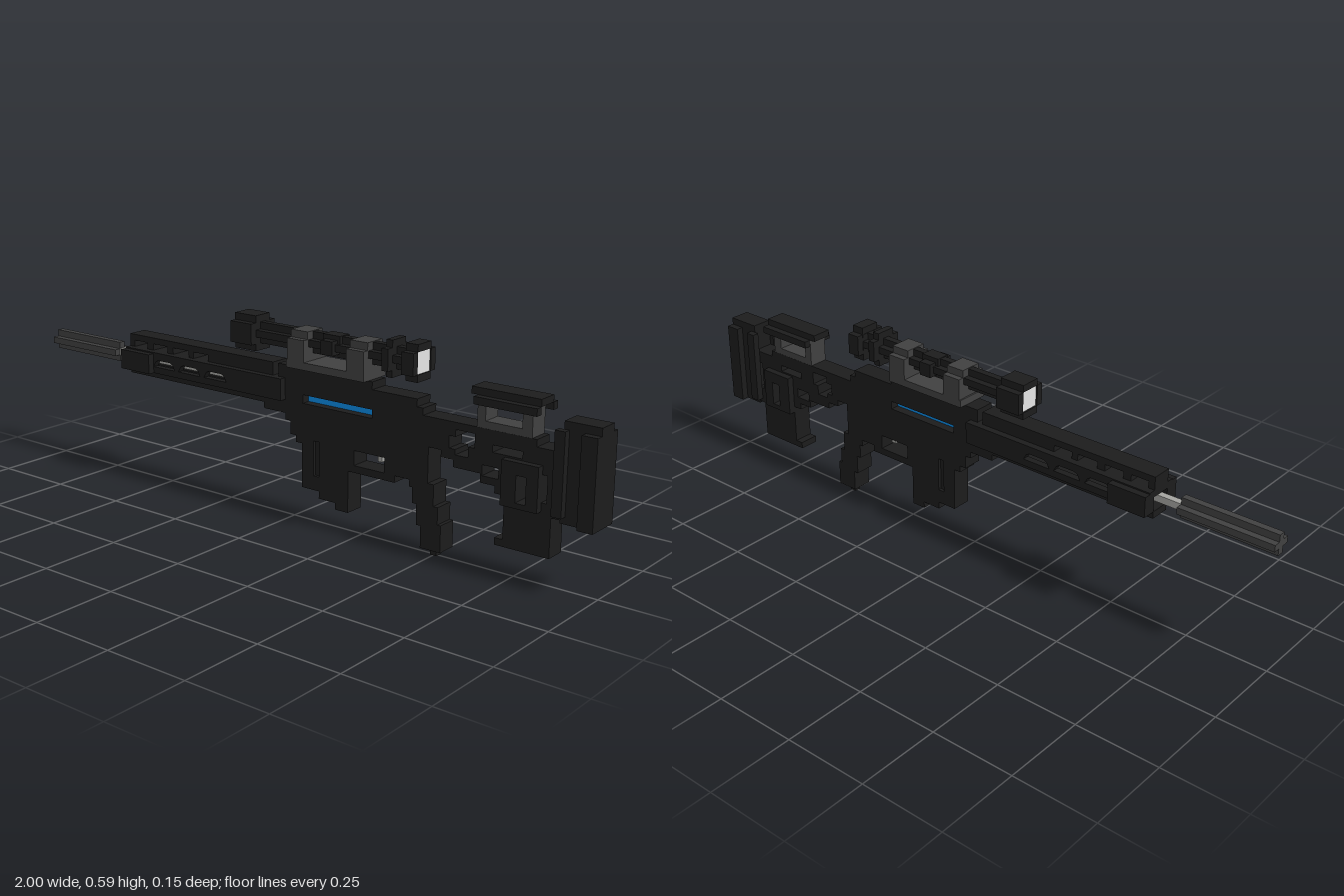
import * as THREE from 'three';

const mat = (name, color) => {
  const m = new THREE.MeshStandardMaterial({ color });
  m.name = name;
  return m;
};

export function createModel() {
  const root = new THREE.Group();
  root.name = 'rifle';
  const black = mat('black', 0x1c1c1c);
  const grey = mat('grey', 0x404040);
  const steel = mat('steel', 0xa4a4a0);
  const glass = mat('glass', 0xe4e4e4);
  const blue = mat('blue', 0x0a8ae4);

  const add = (name, geo, m) => {
    const mesh = new THREE.Mesh(geo, m);
    mesh.name = name;
    root.add(mesh);
    return mesh;
  };
  // box from ranges in x, y and z
  const box = (name, m, x0, x1, y0, y1, z0, z1) =>
    add(name, new THREE.BoxGeometry(x1 - x0, y1 - y0, z1 - z0), m)
      .position.set((x0 + x1) / 2, (y0 + y1) / 2, (z0 + z1) / 2);
  const mid = (name, m, x0, x1, y0, y1, h) => box(name, m, x0, x1, y0, y1, -h, h);
  const pair = (name, m, x0, x1, y0, y1, z0, z1) => {
    box(name, m, x0, x1, y0, y1, z0, z1);
    box(name, m, x0, x1, y0, y1, -z1, -z0);
  };
  // side profile extruded between two depths; holes run against the outline
  const pts = a => a.map(p => new THREE.Vector2(p[0], p[1]));
  const rect = (x0, x1, y0, y1) => [[x0, y0], [x0, y1], [x1, y1], [x1, y0]];
  const plate = (name, m, outline, holes, z0, z1) => {
    const s = new THREE.Shape(pts(outline));
    holes.forEach(h => s.holes.push(new THREE.Path(pts(h).reverse())));
    const g = new THREE.ExtrudeGeometry(s, { depth: z1 - z0, bevelEnabled: false });
    g.translate(0, 0, z0);
    add(name, g, m);
  };

  // suppressor with a stepped round section, and the barrel
  mid('suppressor', grey, -1, -0.71, 0.38, 0.4, 0.031);
  mid('suppressorRidge', grey, -1, -0.71, 0.36, 0.421, 0.0105);
  mid('barrel', steel, -0.71, -0.04, 0.38, 0.401, 0.0105);

  // hollow handguard: slotted walls, floor, roof and raised rail
  const vents = [-0.52, -0.415, -0.31].map(x =>
    [[x, 0.38], [x + 0.01, 0.397], [x + 0.02, 0.402], [x + 0.07, 0.402], [x + 0.08, 0.397], [x + 0.09, 0.38]]);
  for (const z of [-0.052, 0.031])
    plate('handguardWall', black, rect(-0.64, -0.01, 0.36, 0.425), vents, z, z + 0.021);
  pair('handguardCollar', black, -0.64, -0.52, 0.36, 0.421, 0.052, 0.073);
  mid('handguardFloor', black, -0.64, -0.036, 0.339, 0.36, 0.031);
  mid('handguardRoof', black, -0.64, -0.036, 0.405, 0.425, 0.031);
  mid('railTop', black, -0.64, -0.055, 0.445, 0.464, 0.031);
  [[-0.64, -0.62], [-0.565, -0.54], [-0.48, -0.455], [-0.39, -0.37], [-0.31, -0.055]]
    .forEach(([a, b]) => mid('railPost', black, a, b, 0.425, 0.445, 0.031));

  // receiver, magazine and grip share one stepped profile
  plate('receiver', black, [
    [-0.036, 0.464], [0.3, 0.464], [0.3, 0.442], [0.45, 0.442], [0.45, 0.42], [0.47, 0.42],
    [0.47, 0.4], [0.49, 0.4], [0.49, 0.212], [0.51, 0.212], [0.51, 0.15], [0.525, 0.15], [0.525, 0.1],
    [0.536, 0.1], [0.536, 0.021],
    [0.47, 0.021], [0.47, 0.085], [0.455, 0.085], [0.455, 0.145], [0.44, 0.145], [0.44, 0.19],
    [0.43, 0.19], [0.43, 0.21],
    [0.38, 0.21], [0.38, 0.19], [0.22, 0.19], [0.22, 0.065], [0.175, 0.065], [0.175, 0.085],
    [0.115, 0.085], [0.115, 0.107], [0.053, 0.107], [0.053, 0.24], [0.03, 0.24], [0.03, 0.26],
    [0.01, 0.26], [0.01, 0.3], [-0.01, 0.3], [-0.01, 0.32], [-0.09, 0.32], [-0.09, 0.339], [-0.036, 0.339],
  ], [rect(0.24, 0.345, 0.211, 0.255), rect(0.055, 0.3, 0.36, 0.385), rect(0.095, 0.115, 0.15, 0.255)],
  -0.031, 0.031);
  mid('gripToe', black, 0.49, 0.511, 0, 0.021, 0.0105);
  mid('trigger', steel, 0.308, 0.322, 0.232, 0.256, 0.0105);
  mid('magazineGroove', black, 0.095, 0.115, 0.15, 0.255, 0.021);
  mid('blueBar', blue, 0.055, 0.3, 0.36, 0.385, 0.004);

  // skeleton stock
  const slots = [rect(0.775, 0.805, 0.225, 0.3)];
  plate('stock', black, [
    [0.49, 0.4], [0.82, 0.4], [0.82, 0.38], [0.895, 0.38], [0.895, 0.34], [0.87, 0.34],
    [0.87, 0.25], [0.895, 0.25], [0.895, 0.2], [0.87, 0.2], [0.87, 0.088], [0.705, 0.088],
    [0.705, 0.108], [0.73, 0.108], [0.73, 0.23], [0.7, 0.23], [0.7, 0.25], [0.655, 0.25],
    [0.655, 0.275], [0.57, 0.275], [0.57, 0.295], [0.53, 0.295], [0.53, 0.315], [0.49, 0.315],
  ], [
    [[0.555, 0.325], [0.555, 0.36], [0.575, 0.36], [0.575, 0.38], [0.635, 0.38], [0.635, 0.34],
      [0.615, 0.34], [0.615, 0.31], [0.575, 0.31], [0.575, 0.325]],
    rect(0.69, 0.78, 0.34, 0.36), rect(0.66, 0.71, 0.27, 0.3),
    rect(0.84, 0.855, 0.235, 0.31), ...slots,
  ], -0.031, 0.031);
  // thicker cheeks on the rear of the stock
  for (const z of [-0.052, 0.031])
    plate('stockCheek', black, rect(0.73, 0.84, 0.21, 0.335), slots, z, z + 0.021);

  // cheek rest
  plate('cheekSupport', grey, rect(0.64, 0.805, 0.4, 0.487), [rect(0.665, 0.775, 0.42, 0.462)], -0.0305, 0.0305);
  mid('cheekPad', black, 0.62, 0.828, 0.487, 0.507, 0.031);
  pair('cheekPadEdge', black, 0.64, 0.828, 0.466, 0.487, 0.031, 0.052);

  // butt pad
  mid('butt', black, 0.895, 1, 0.192, 0.464, 0.031);
  pair('buttRib', black, 0.88, 0.91, 0.212, 0.442, 0.031, 0.052);
  pair('buttPad', black, 0.955, 1, 0.192, 0.442, 0.031, 0.052);

  // scope: tube with stepped round section, end bells, ring and lenses
  mid('scopeTube', black, -0.12, 0.41, 0.528, 0.549, 0.031);
  mid('scopeTubeCore', black, -0.12, 0.41, 0.507, 0.57, 0.0105);
  const bell = (name, x0, x1) => {
    mid(name, black, x0, x1, 0.57, 0.591, 0.031);
    mid(name, black, x0, x1, 0.486, 0.507, 0.031);
    pair(name, black, x0, x1, 0.507, 0.57, 0.031, 0.052);
  };
  bell('frontBell', -0.2, -0.12);
  mid('frontBellCore', black, -0.187, -0.12, 0.507, 0.57, 0.031);
  mid('frontLens', glass, -0.195, -0.187, 0.507, 0.57, 0.031);
  bell('focusRing', 0.345, 0.366);
  mid('focusRingCore', black, 0.345, 0.366, 0.507, 0.57, 0.031);
  bell('eyepiece', 0.41, 0.449);
  mid('eyepieceCore', black, 0.409, 0.437, 0.507, 0.57, 0.031);
  mid('eyepieceLens', glass, 0.437, 0.445, 0.507, 0.57, 0.031);

  // scope mount and turrets
  mid('mountBase', grey, 0.01, 0.285, 0.464, 0.486, 0.052);
  for (const x of [0.015, 0.225]) {
    mid('mountRing', grey, x, x + 0.06, 0.486, 0.572, 0.034);
    pair('mountClamp', grey, x, x + 0.06, 0.486, 0.55, 0.034, 0.052);
  }
  mid('topTurret', black, 0.12, 0.18, 0.549, 0.572, 0.021);
  pair('sideTurret', black, 0.13, 0.17, 0.518, 0.559, 0.0105, 0.045);
  return root;
}
